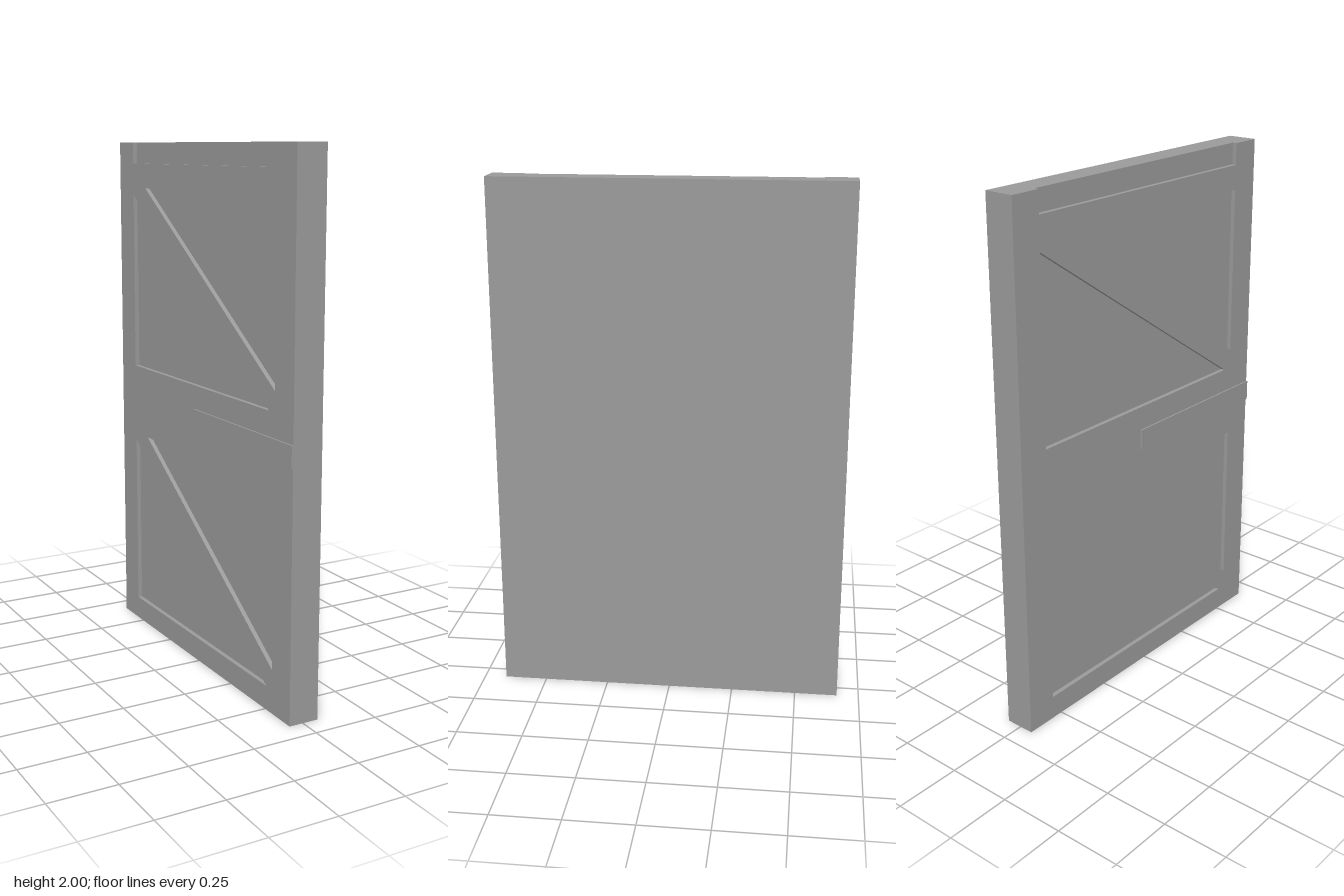
import * as THREE from 'three';

export function createModel() {
  const group = new THREE.Group();
  const material = new THREE.MeshStandardMaterial({ color: 0x9a9a9a, flatShading: true });
  const H = 2, W = 0.665, INNER = 0.544;
  const OUTER_X = 0.061, FLOOR_X = -0.038, FACE_X = -0.055;

  const add = (name, geometry) => {
    const mesh = new THREE.Mesh(geometry, material);
    mesh.name = name;
    group.add(mesh);
  };
  // Box given by its limits on each axis
  const addBox = (name, x0, x1, y0, y1, z0, z1) => {
    const geometry = new THREE.BoxGeometry(x1 - x0, y1 - y0, z1 - z0);
    geometry.translate((x0 + x1) / 2, (y0 + y1) / 2, (z0 + z1) / 2);
    add(name, geometry);
  };
  const points = (list) => list.map(([z, y]) => new THREE.Vector2(z, y));

  // Solid door slab; its -x face is the floor of the recesses
  addBox('doorSlab', FLOOR_X, OUTER_X, 0, H, -W, W);

  // Raised framework outline, notched along the top edge
  const frame = new THREE.Shape(points([
    [-W, 0], [W, 0], [W, H], [INNER, H], [INNER, 1.918],
    [-INNER, 1.918], [-INNER, H], [-W, H],
  ]));

  // Two pairs of triangular recesses, separated by diagonal braces
  for (const y of [0, 1.008]) {
    frame.holes.push(
      new THREE.Path(points([[-0.437, y + 0.815], [INNER, y + 0.815], [INNER, y + 0.166]])),
      new THREE.Path(points([[-INNER, y + 0.785], [0.508, y + 0.091], [-INNER, y + 0.091]])),
    );
  }
  const frameGeometry = new THREE.ExtrudeGeometry(frame, { depth: FLOOR_X - FACE_X, bevelEnabled: false });
  frameGeometry.rotateY(-Math.PI / 2);
  frameGeometry.translate(FLOOR_X, 0, 0);
  add('bracedFrame', frameGeometry);

  // Flat strap hinge across the middle rail
  addBox('strap', -OUTER_X, FACE_X, 0.928, 1.008, -0.027, W);

  return group;
}
